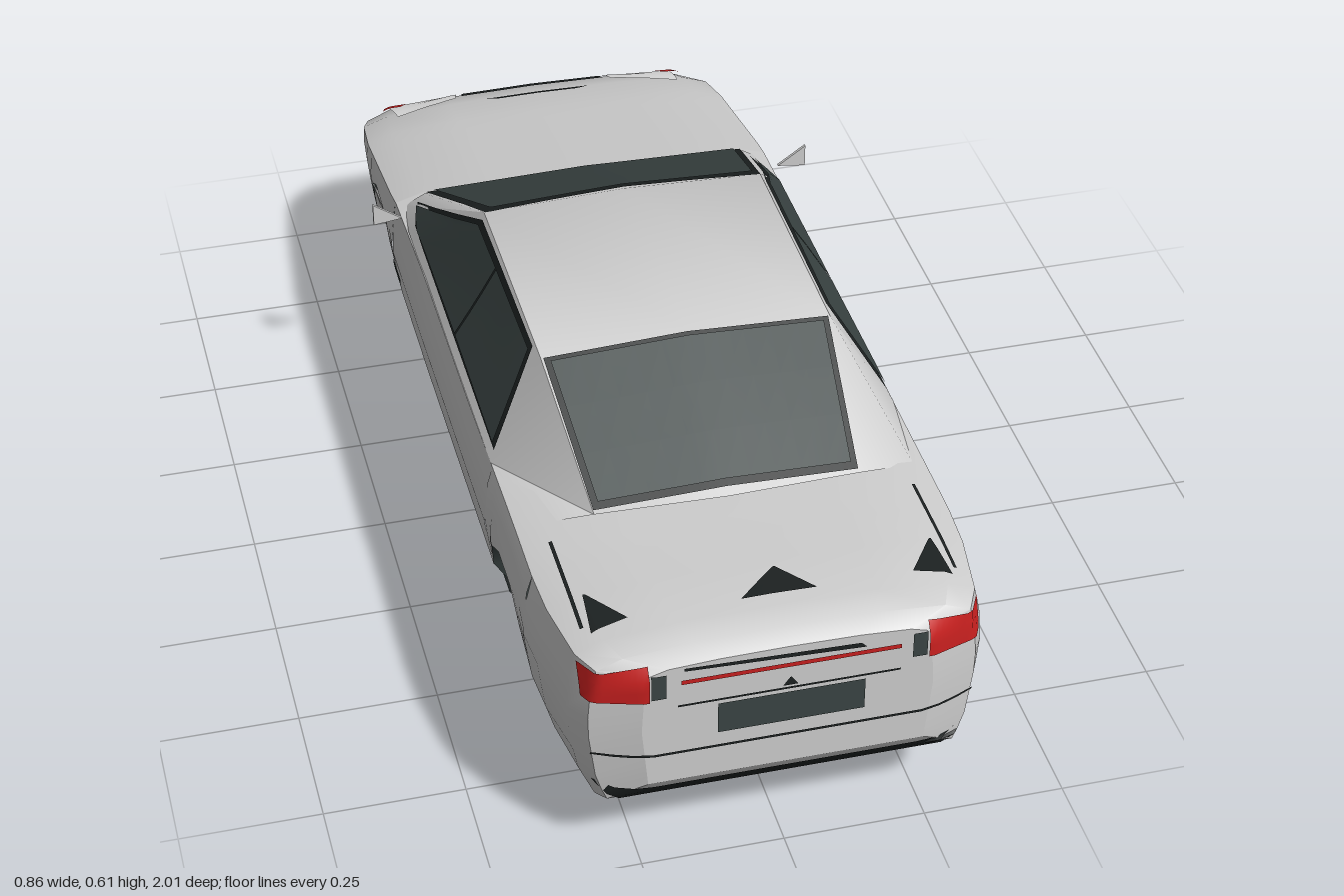
import * as THREE from 'three';
import { toCreasedNormals } from 'three/addons/utils/BufferGeometryUtils.js';

const mat = (name, color, side = THREE.DoubleSide) => {
  const m = new THREE.MeshStandardMaterial({ color, side });
  m.name = name;
  return m;
};
const lerp = THREE.MathUtils.lerp;

// Piecewise linear lookup; rows are [key, value, ...] with rising keys
function lookup(rows, k) {
  if (k <= rows[0][0]) return rows[0].slice(1);
  for (let i = 1; i < rows.length; i++) {
    if (k <= rows[i][0]) {
      const a = rows[i - 1], b = rows[i], t = (k - a[0]) / (b[0] - a[0]);
      return a.slice(1).map((v, n) => lerp(v, b[n + 1], t));
    }
  }
  return rows[rows.length - 1].slice(1);
}

// Body stations: z, half width, bottom, shoulder, centre top
const STATIONS = [
  [-1, 0.24, 0.16, 0.215, 0.24], [-0.975, 0.32, 0.135, 0.27, 0.305],
  [-0.94, 0.345, 0.12, 0.3, 0.335], [-0.88, 0.365, 0.105, 0.325, 0.355],
  [-0.785, 0.375, 0.09, 0.345, 0.375], [-0.47, 0.383, 0.078, 0.405, 0.43],
  [-0.2, 0.385, 0.075, 0.415, 0.42], [0.2, 0.385, 0.075, 0.415, 0.42],
  [0.56, 0.385, 0.077, 0.42, 0.44], [0.71, 0.385, 0.08, 0.42, 0.445],
  [0.8, 0.38, 0.09, 0.42, 0.45], [0.92, 0.36, 0.105, 0.42, 0.455],
  [0.97, 0.335, 0.135, 0.42, 0.45], [1, 0.25, 0.18, 0.415, 0.432],
];
// Side bulge: height, share of the half width
const BULGE = [[0.075, 0.68], [0.1, 0.86], [0.18, 0.955], [0.3, 1], [0.4, 0.975], [0.44, 0.93]];
const WHEELS = [0.557, -0.63];
const ARCH = [[0.155, 0.2], [0.11, 0.28], [0.045, 0.318], [-0.045, 0.318], [-0.11, 0.28], [-0.155, 0.2]];
const WHEEL_X = 0.24;
const sideX = (z, y) => lookup(STATIONS, z)[0] * lookup(BULGE, y)[0];

// Skin over rows of points
function grid(rows, keep = () => true) {
  const pos = [];
  for (let i = 0; i < rows.length - 1; i++) {
    if (!keep(i)) continue;
    for (let j = 0; j < rows[i].length - 1; j++) {
      const a = rows[i][j], b = rows[i][j + 1], c = rows[i + 1][j + 1], d = rows[i + 1][j];
      pos.push(...a, ...d, ...c, ...a, ...c, ...b);
    }
  }
  const g = new THREE.BufferGeometry();
  g.setAttribute('position', new THREE.Float32BufferAttribute(pos, 3));
  return toCreasedNormals(g, 0.7);
}
const mirrorRow = half => [...half, ...half.slice(0, -1).reverse().map(p => [-p[0], p[1], p[2]])];

// Half section from the lower edge up to the centre line
function section({ z, yb }) {
  const [, , ys, yt] = lookup(STATIONS, z);
  const half = [0, 0.08, 0.2, 0.35, 0.5, 0.65, 0.85, 1].map(t => {
    const y = lerp(yb, ys, t);
    return [sideX(z, y), y, z];
  });
  const edge = sideX(z, ys);
  for (const [fx, fy] of [[0.86, 0.6], [0.5, 0.9], [0, 1]]) half.push([edge * fx, lerp(ys, yt, fy), z]);
  return half;
}

export function createModel() {
  const car = new THREE.Group();
  car.name = 'car';
  const paint = mat('silverPaint', 0xcfcfcf, THREE.FrontSide);
  const glass = mat('darkGlass', 0x3b4544);
  const black = mat('blackTrim', 0x1d2222);
  const red = mat('redLamp', 0xc8201f);
  const white = mat('clearLamp', 0xf2f2f2);
  const add = (name, geometry, material) => {
    const m = new THREE.Mesh(geometry, material);
    m.name = name;
    car.add(m);
    return m;
  };

  // Columns along the body, with the wheel arches stepped in
  const cols = STATIONS.filter(s => !WHEELS.some(w => Math.abs(s[0] - w) < 0.154))
    .map(s => ({ z: s[0], yb: s[2], order: 0 }));
  for (const w of WHEELS) {
    for (const e of [0.155, -0.155]) {
      cols.push({ z: w + e, yb: lookup(STATIONS, w + e)[1], order: e > 0 ? -1 : 1 });
    }
    ARCH.forEach(([dz, yb]) => cols.push({ z: w + dz, yb, order: 0, arch: true }));
  }
  cols.sort((a, b) => (Math.abs(b.z - a.z) > 1e-6 ? b.z - a.z : a.order - b.order));
  const solid = i => Math.abs(cols[i].z - cols[i + 1].z) > 1e-6;
  const halves = cols.map(section);
  const body = add('bodyShell', grid(halves.map(mirrorRow), solid), paint);

  // End faces and floor
  const flip = half => half.map(p => [-p[0], p[1], p[2]]);
  const tail = halves[0], nose = halves[halves.length - 1];
  const rearFace = add('rearFace', grid([flip(tail), tail]), paint);
  const frontFace = add('frontFace', grid([nose, flip(nose)]), paint);
  const floor = add('floor', grid(cols.map(c => {
    const y = lookup(STATIONS, c.z)[1], x = c.arch ? WHEEL_X : sideX(c.z, y);
    return [[-x, y, c.z], [x, y, c.z]];
  }), solid), paint);

  // Cabin, from the rear window base to the cowl
  const cabin = add('cabin', grid([
    [[0.345, 0.422, 0.58], [0.235, 0.448, 0.61], [0, 0.45, 0.62]],
    [[0.368, 0.418, 0.39], [0.262, 0.583, 0.33], [0, 0.595, 0.33]],
    [[0.368, 0.412, -0.36], [0.264, 0.588, -0.13], [0, 0.605, -0.12]],
    [[0.355, 0.405, -0.46], [0.318, 0.432, -0.45], [0, 0.435, -0.46]],
  ].map(mirrorRow)), paint);

  // Thin plate laid on the skin: corners are given in the plane facing the axis
  const skin = [body, rearFace, frontFace, floor, cabin];
  const caster = new THREE.Raycaster();
  function plate(name, material, axis, corners, lift = 0.005, n = 10, m = 3) {
    const k = 'xyz'.indexOf(axis[0]), sign = axis[1] === '-' ? -1 : 1;
    const [u, v] = [[2, 1], [0, 2], [0, 1]][k];
    const dir = new THREE.Vector3().setComponent(k, -sign);
    let depth = sign * [0.36, 0.4, 0.96][k];
    const rows = [];
    for (let i = 0; i <= n; i++) {
      rows.push([]);
      for (let j = 0; j <= m; j++) {
        const p = [0, 1].map(c => lerp(
          lerp(corners[0][c], corners[1][c], i / n), lerp(corners[3][c], corners[2][c], i / n), j / m));
        const o = new THREE.Vector3().setComponent(k, 3 * sign).setComponent(u, p[0]).setComponent(v, p[1]);
        caster.set(o, dir);
        const hit = caster.intersectObjects(skin, false)[0];
        if (hit) depth = hit.point.getComponent(k);
        rows[i].push(o.setComponent(k, depth + sign * lift).toArray());
      }
    }
    let g = grid(rows);
    // Turn the plate outward if its corners ran the other way
    if (g.attributes.normal.getComponent(0, k) * sign < 0) g = grid(rows.reverse());
    return add(name, g, material);
  }
  const box = (x0, y0, x1, y1) => [[x0, y0], [x1, y0], [x1, y1], [x0, y1]];
  const flipX = pts => pts.map(([x, y]) => [-x, y]);

  // Windscreen and rear window with black surrounds
  plate('windscreenSurround', black, 'y+', [[-0.315, -0.45], [0.315, -0.45], [0.262, -0.125], [-0.262, -0.125]], 0.003);
  plate('windscreen', glass, 'y+', [[-0.3, -0.442], [0.3, -0.442], [0.25, -0.138], [-0.25, -0.138]], 0.007);
  plate('rearWindowSurround', black, 'y+', [[-0.235, 0.605], [0.235, 0.605], [0.258, 0.333], [-0.258, 0.333]], 0.003);
  plate('rearWindow', glass, 'y+', [[-0.225, 0.595], [0.225, 0.595], [0.247, 0.343], [-0.247, 0.343]], 0.007);
  plate('hoodVent', black, 'y+', [[-0.11, -0.87], [0.11, -0.87], [0.08, -0.862], [-0.08, -0.862]]);
  plate('deckMark', black, 'y+', [[-0.055, 0.895], [0.075, 0.895], [0.022, 0.825], [0.018, 0.825]]);

  // Nose
  plate('grille', black, 'y+', [[-0.14, -0.968], [0.14, -0.968], [0.15, -0.918], [-0.15, -0.918]]);
  plate('lowerIntake', black, 'z-', box(-0.225, 0.165, 0.225, 0.2));

  // Tail
  plate('numberPlate', glass, 'z+', box(-0.122, 0.275, 0.13, 0.338));
  plate('tailStrip', red, 'z+', box(-0.185, 0.392, 0.19, 0.401));
  plate('bootSeam', black, 'z+', box(-0.19, 0.345, 0.19, 0.349));
  plate('bumperSeam', black, 'z+', box(-0.33, 0.243, 0.33, 0.248), 0.005, 20);
  plate('bootLip', black, 'z+', [[-0.18, 0.42], [0.13, 0.408], [0.12, 0.418], [-0.18, 0.426]]);
  plate('bootBadgePanel', black, 'z+', [[-0.012, 0.353], [0.014, 0.353], [0.002, 0.37], [0, 0.37]]);
  plate('bumperSlot', black, 'z+', [[-0.26, 0.115], [0.26, 0.115], [0.325, 0.17], [-0.325, 0.17]], 0.005, 20);

  for (const s of [1, -1]) {
    const both = pts => (s > 0 ? pts : flipX(pts));
    const side = s > 0 ? 'x+' : 'x-';

    // Side windows, trim and markers
    plate('sideWindowSurround', black, side, [[-0.425, 0.432], [0.378, 0.436], [0.288, 0.58], [-0.115, 0.582]], 0.003);
    plate('frontSideWindow', glass, side, [[-0.405, 0.438], [0.03, 0.442], [0.03, 0.574], [-0.115, 0.574]], 0.007);
    plate('rearSideWindow', glass, side, [[0.035, 0.442], [0.365, 0.442], [0.285, 0.574], [0.035, 0.574]], 0.007);
    plate('sillStrip', black, side, box(-0.455, 0.086, 0.375, 0.104));
    plate('sideVent', glass, side, box(-0.44, 0.273, -0.365, 0.298));
    plate('cornerMarker', black, side, box(-0.975, 0.15, -0.945, 0.185));

    // Lamps
    plate('headlight', white, 'y+', both([[0.155, -0.952], [0.3, -0.94], [0.295, -0.855], [0.165, -0.905]]));
    plate('headlightMarker', red, 'y+', both([[0.265, -0.928], [0.31, -0.935], [0.315, -0.918], [0.28, -0.912]]), 0.009);
    plate('tailLight', red, 'z+', both([[0.238, 0.365], [0.342, 0.36], [0.343, 0.415], [0.238, 0.432]]), 0.007);
    plate('reverseLight', glass, 'z+', both(box(0.21, 0.368, 0.235, 0.418)));
    plate('deckTriangle', black, 'y+', both([[0.245, 0.885], [0.31, 0.9], [0.302, 0.805], [0.298, 0.805]]));
    plate('deckSeam', black, 'y+', both(box(0.318, 0.65, 0.324, 0.88)));

    // Door mirror: a thin upright triangle
    const tri = new THREE.Shape([[0.375, 0.427], [0.43, 0.42], [0.43, 0.465]]
      .map(([x, y]) => new THREE.Vector2(s * x, y)));
    add('doorMirror', new THREE.ExtrudeGeometry(tri, { depth: 0.006, bevelEnabled: false }), paint)
      .position.z = -0.39;

    for (const w of WHEELS) {
      // Flat wheel disc set inside the arch
      const disc = add('wheel', new THREE.CircleGeometry(0.16, 9, -Math.PI / 2), glass);
      disc.rotation.y = s * Math.PI / 2;
      disc.position.set(s * WHEEL_X, 0.16, w);

      // Arch lining, seen from below
      const path = [[0.155, 0.09], ...ARCH, [-0.155, 0.09]];
      const outer = path.map(([dz, y]) => [s * sideX(w + dz, y), y, w + dz]);
      const inner = path.map(([dz, y]) => [s * WHEEL_X, y, w + dz]);
      const lining = add('wheelArchLining', grid(s > 0 ? [outer, inner] : [inner, outer]), archMat());
      lining.castShadow = false;
    }
  }

  // The lining shares the glass colour but shows only its lower face
  function archMat() {
    archMat.shared ??= mat('archLining', 0x3b4544, THREE.FrontSide);
    return archMat.shared;
  }
  return car;
}
